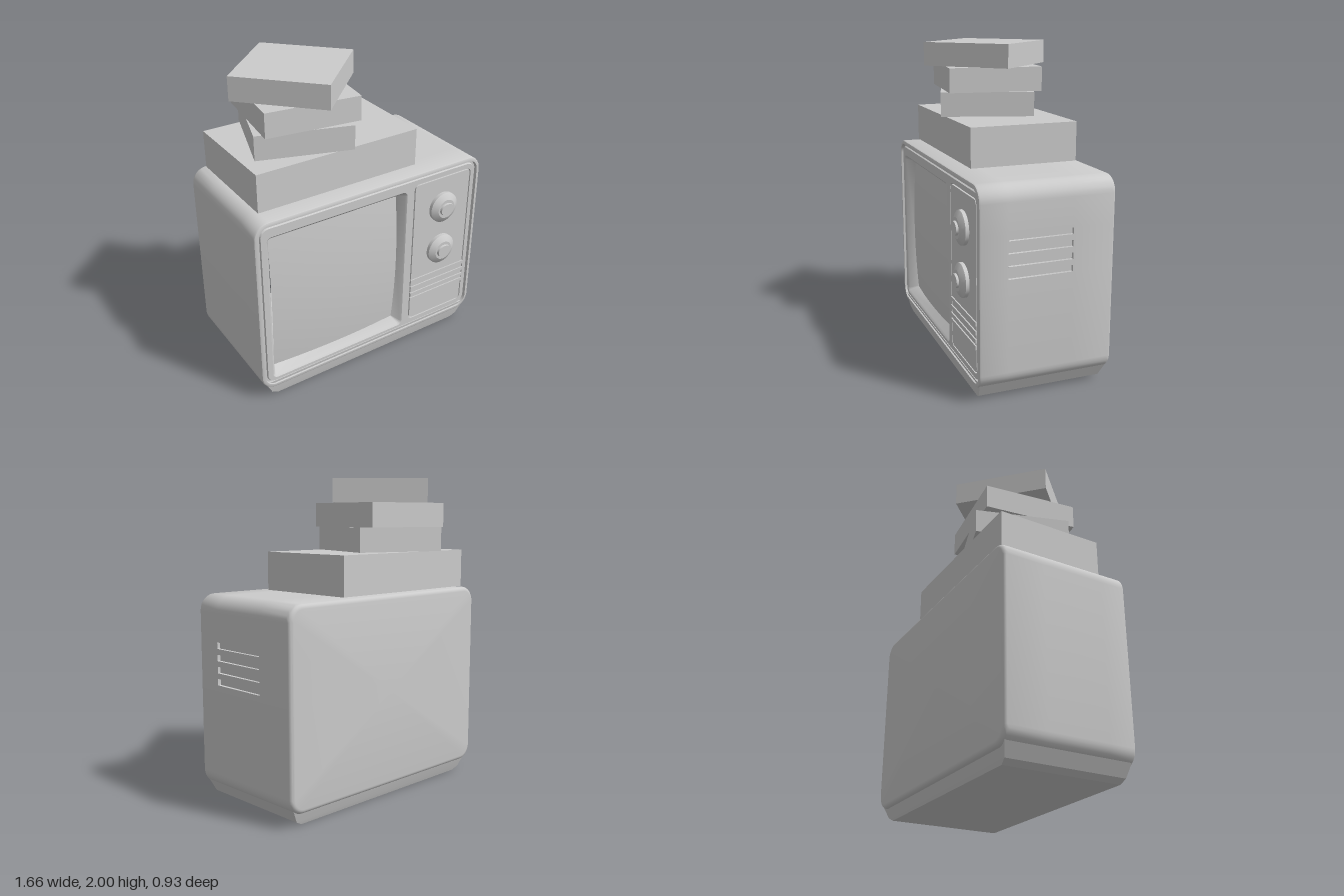
import * as THREE from 'three';
import { toCreasedNormals } from 'three/addons/utils/BufferGeometryUtils.js';

const ARC = 8; // segments per rounded corner

// Counter-clockwise rounded rectangle; extraY adds points up the +x side
function ring(w, h, r, inset = 0, extraY = []) {
  const a = w / 2 - inset, b = h / 2 - inset, q = Math.max(r - inset, 0.002);
  const pts = [];
  [[1, -1], [1, 1], [-1, 1], [-1, -1]].forEach(([sx, sy], c) => {
    for (let i = 0; i <= ARC; i++) {
      const t = (c - 1 + i / ARC) * Math.PI / 2;
      pts.push(new THREE.Vector2(sx * (a - q) + q * Math.cos(t), sy * (b - q) + q * Math.sin(t)));
    }
    if (c === 0) extraY.forEach(y => pts.push(new THREE.Vector2(a, y)));
  });
  return pts;
}

// Joins rounded rectangles given as [inset, z] steps, with optional end caps
function loft(w, h, r, steps, { capStart, capEnd, extraY = [], skip = () => false } = {}) {
  const pos = [], rings = steps.map(([inset]) => ring(w, h, r, inset, extraY));
  const n = rings[0].length;
  const put = (s, j) => pos.push(rings[s][j % n].x, rings[s][j % n].y, steps[s][1]);
  for (let s = 0; s < steps.length - 1; s++) {
    for (let j = 0; j < n; j++) {
      if (skip(s, j)) continue;
      put(s, j); put(s, j + 1); put(s + 1, j + 1);
      put(s, j); put(s + 1, j + 1); put(s + 1, j);
    }
  }
  const last = steps.length - 1;
  for (let j = 0; j < n; j++) {
    if (capStart) { pos.push(0, 0, steps[0][1]); put(0, j + 1); put(0, j); }
    if (capEnd) { pos.push(0, 0, steps[last][1]); put(last, j); put(last, j + 1); }
  }
  const geo = new THREE.BufferGeometry();
  geo.setAttribute('position', new THREE.Float32BufferAttribute(pos, 3));
  return toCreasedNormals(geo, 0.6);
}

export function createModel() {
  const model = new THREE.Group();
  const material = new THREE.MeshStandardMaterial({ color: 0xcccccc });
  const add = (name, geo, x = 0, y = 0, z = 0) => {
    const mesh = new THREE.Mesh(geo, material);
    mesh.name = name;
    mesh.position.set(x, y, z);
    model.add(mesh);
    return mesh;
  };

  // Cabinet shell: rounded back edge, grooved front rim, openings for the vents
  const W = 1.664, H = 1.21, R = 0.1, CY = 0.685, FACE = 0.405, FACE_INSET = 0.047;
  const ventY = [0.765, 0.84, 0.915, 0.99];
  const steps = [];
  for (let i = 0; i <= 5; i++) {
    const t = i / 5 * Math.PI / 2;
    steps.push([0.03 * (1 - Math.sin(t)), -0.4 - 0.03 * Math.cos(t)]);
  }
  const ventStep = steps.length;
  steps.push([0, -0.16], [0, 0.24], [0, 0.403], [0.004, 0.411], [0.012, 0.415], [0.025, 0.415],
    [0.028, 0.395], [0.042, 0.395], [FACE_INSET, FACE]);
  add('cabinet', loft(W, H, R, steps, {
    capStart: true,
    extraY: ventY.flatMap(y => [y - 0.02 - CY, y + 0.02 - CY]),
    skip: (s, j) => s === ventStep && j > ARC && j <= ARC + 8 && (j - ARC) % 2 === 1,
  }), 0, CY, 0);

  // Side vent pockets
  for (const y of ventY) {
    const pocket = loft(0.4, 0.04, 0.002, [[0, 0], [0, -0.02]], { capEnd: true });
    add('sideVent', pocket.rotateY(Math.PI / 2), W / 2, y, 0.04);
  }

  // Front face with openings for screen and control panel
  const screen = { x: -0.25, y: 0.665, w: 1.0, h: 1.04, r: 0.035 };
  const panel = { x: 0.535, y: 0.685, w: 0.46, h: 1.05, r: 0.035 };
  const face = new THREE.Shape(ring(W, H, R, FACE_INSET));
  for (const o of [screen, panel]) {
    const pts = ring(o.w, o.h, o.r).map(p => p.add(new THREE.Vector2(o.x, o.y - CY)));
    face.holes.push(new THREE.Path(pts));
  }
  add('frontFace', new THREE.ShapeGeometry(face), 0, CY, FACE);

  // Screen surround sloping inward, and the bulging screen
  add('screenSurround', loft(screen.w, screen.h, screen.r, [[0, FACE], [0.012, FACE - 0.01], [0.05, 0.325]]),
    screen.x, screen.y, 0);
  const sw = screen.w - 0.06, sh = screen.h - 0.07;
  const glass = new THREE.PlaneGeometry(sw, sh, 24, 24);
  const gp = glass.attributes.position;
  for (let i = 0; i < gp.count; i++) {
    const u = gp.getX(i) / sw * 2, v = gp.getY(i) / sh * 2;
    gp.setZ(i, 0.335 + 0.04 * (1 - (u * u + v * v) / 2));
  }
  glass.computeVertexNormals();
  add('screen', glass, screen.x + 0.01, screen.y + 0.01, 0);

  // Control panel set off by a groove
  add('controlPanel', loft(panel.w, panel.h, panel.r,
    [[0, FACE], [0, FACE - 0.015], [0.009, FACE - 0.015], [0.009, FACE]], { capEnd: true }), panel.x, panel.y, 0);

  // Knobs: conical skirt with an oval cap
  const skirt = [[0.105, 0], [0.105, 0.022], [0.098, 0.028], [0.065, 0.046], [0, 0.046]]
    .map(p => new THREE.Vector2(...p));
  for (const y of [0.99, 0.67]) {
    add('knobSkirt', toCreasedNormals(new THREE.LatheGeometry(skirt, 40), 0.4).rotateX(Math.PI / 2), 0.54, y, FACE);
    const cap = new THREE.CylinderGeometry(0.05, 0.056, 0.03, 32).rotateX(Math.PI / 2);
    add('knobCap', cap, 0.54, y, 0.45).scale.y = 0.82;
  }

  // Speaker ribs
  for (const y of [0.475, 0.42, 0.37, 0.33]) {
    add('speakerRib', new THREE.BoxGeometry(0.45, 0.024, 0.02), panel.x, y, 0.403);
  }

  // Base tapering to the ground
  const base = new THREE.BoxGeometry(2, 0.14, 2, 1, 2, 1);
  const bp = base.attributes.position;
  const levels = [[0, 0.71, 0.385, -0.375], [0.025, 0.755, 0.391, -0.385], [0.125, 0.808, 0.408, -0.415]];
  for (let i = 0; i < bp.count; i++) {
    const [y, x, front, back] = levels[Math.round((bp.getY(i) + 0.07) / 0.07)];
    bp.setXYZ(i, x * bp.getX(i), y, bp.getZ(i) > 0 ? front : back);
  }
  add('base', toCreasedNormals(base, 0.3));

  // Stack of boxes on top: width, depth, bottom, top, x, z, turn
  const boxes = [
    [1.12, 0.69, 1.295, 1.54, -0.18, -0.045, 0],
    [0.595, 0.595, 1.54, 1.695, -0.29, -0.045, -0.316],
    [0.6, 0.6, 1.695, 1.85, -0.29, -0.045, -0.13],
    [0.595, 0.595, 1.85, 2, -0.29, -0.043, -0.8],
  ];
  for (const [w, d, y0, y1, x, z, turn] of boxes) {
    add('stackedBox', new THREE.BoxGeometry(w, y1 - y0, d), x, (y0 + y1) / 2, z).rotation.y = turn;
  }
  return model;
}
